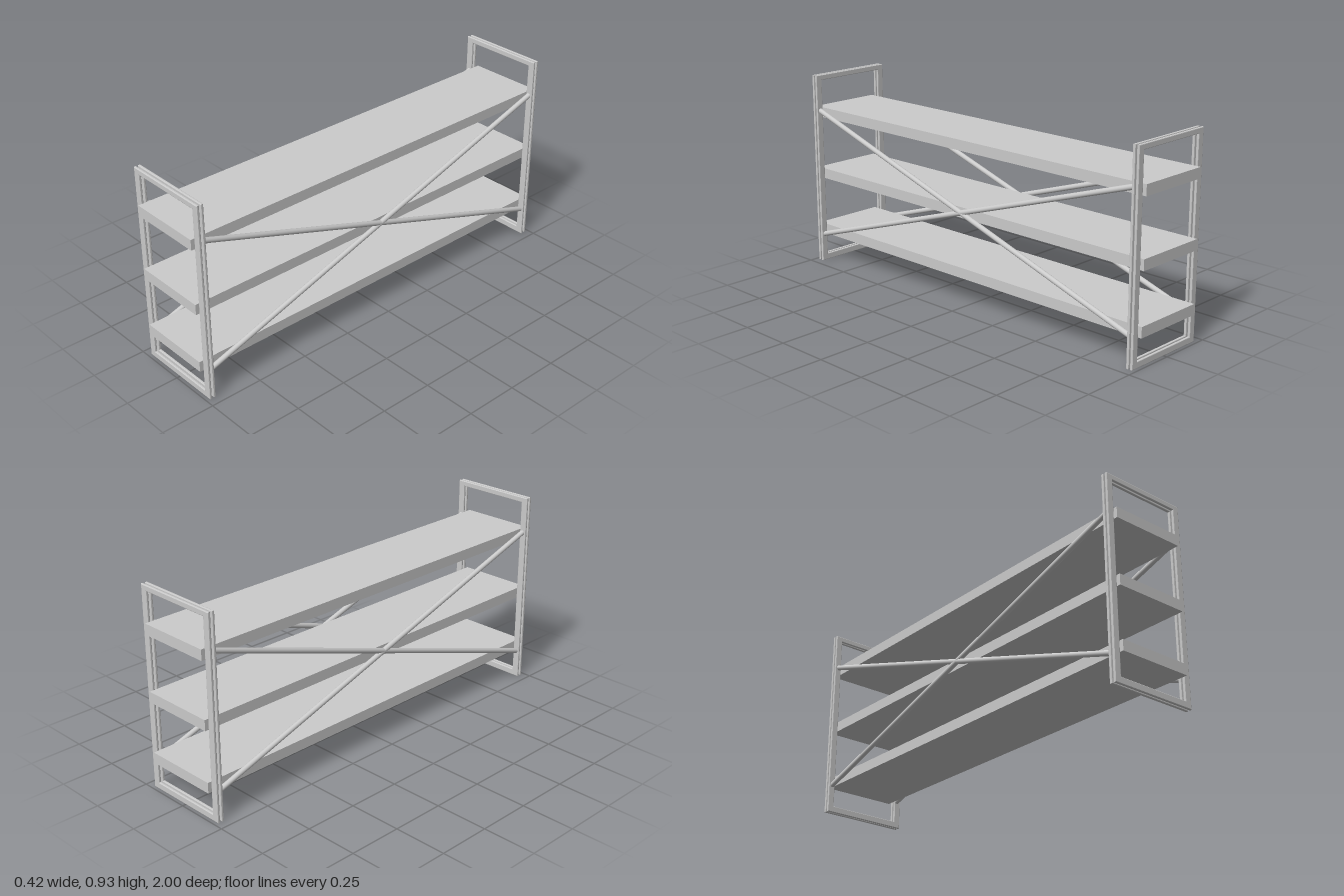
import * as THREE from 'three';

const material = new THREE.MeshStandardMaterial({ color: 0xcccccc });

function add(group, name, geometry) {
  const mesh = new THREE.Mesh(geometry, material);
  mesh.name = name;
  group.add(mesh);
  return mesh;
}

// Thin rectangular hoop with softened edges, centred on its own z
function hoopGeometry() {
  const bevel = 0.003;
  const rect = (path, x, y0, y1) => {
    path.moveTo(-x, y0);
    path.lineTo(x, y0);
    path.lineTo(x, y1);
    path.lineTo(-x, y1);
    path.closePath();
    return path;
  };
  const shape = rect(new THREE.Shape(), 0.21 - bevel, bevel, 0.93 - bevel);
  shape.holes.push(rect(new THREE.Path(), 0.178 + bevel, 0.03 - bevel, 0.905 + bevel));
  return new THREE.ExtrudeGeometry(shape, {
    depth: 0.006, bevelEnabled: true, bevelSize: bevel, bevelThickness: bevel, bevelSegments: 2,
  }).translate(0, 0, -0.003);
}

// Round rod between two points
function rodGeometry(a, b, radius) {
  return new THREE.TubeGeometry(new THREE.LineCurve3(a, b), 1, radius, 16);
}

export function createModel() {
  const model = new THREE.Group();
  model.name = 'shelfUnit';

  // Shelf boards
  for (const [name, y] of [['bottomShelf', 0.158], ['middleShelf', 0.442], ['topShelf', 0.747]]) {
    add(model, name, new THREE.BoxGeometry(0.354, 0.049, 2)).position.y = y;
  }

  // Each end frame is a pair of hoops with a narrow gap
  const hoop = hoopGeometry();
  for (const end of [1, -1]) {
    const frame = new THREE.Group();
    frame.name = end > 0 ? 'frontFrame' : 'backFrame';
    for (const [name, z] of [['innerHoop', 0.958], ['outerHoop', 0.978]]) {
      add(frame, name, hoop).position.z = end * z;
    }
    model.add(frame);
  }

  // Crossed bracing rods on both long sides
  for (const side of [1, -1]) {
    const brace = new THREE.Group();
    brace.name = side > 0 ? 'leftBrace' : 'rightBrace';
    for (const dir of [1, -1]) {
      const x = side * 0.191;
      add(brace, dir > 0 ? 'risingRod' : 'fallingRod', rodGeometry(
        new THREE.Vector3(x, 0.135, dir * 0.955),
        new THREE.Vector3(x, 0.757, -dir * 0.955), 0.012));
    }
    model.add(brace);
  }

  return model;
}
